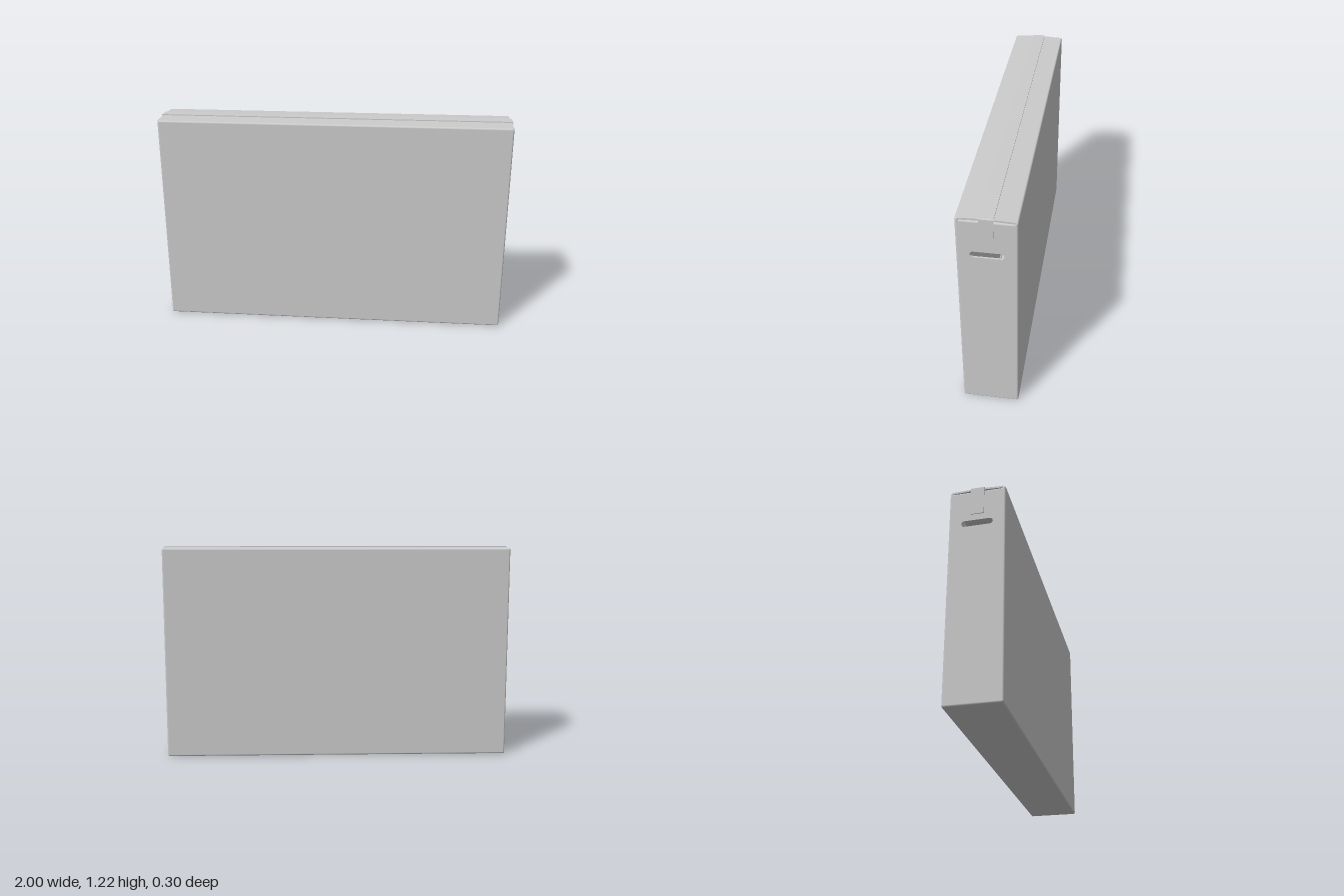
import * as THREE from 'three';

const X = 0.996, Z = 0.149, T = 0.01;   // half length, half depth, board thickness
const TOP = 1.213, END_TOP = 1.203, PEAK = 1.219; // top of long walls, end walls, flap meeting line

export function createModel() {
  const group = new THREE.Group();
  const board = new THREE.MeshStandardMaterial({ color: 0xcccccc });

  const add = (name, geometry, x = 0, y = 0, z = 0) => {
    const mesh = new THREE.Mesh(geometry, board);
    mesh.name = name;
    mesh.position.set(x, y, z);
    group.add(mesh);
    return mesh;
  };
  const extrude = (shape, depth) => new THREE.ExtrudeGeometry(shape, { depth, bevelEnabled: false, curveSegments: 10 })
    .translate(0, 0, -depth / 2);
  const polygon = (points) => new THREE.Shape(points.map(([x, y]) => new THREE.Vector2(x, y)));
  // rounded fold along an edge
  const crease = (name, length, axis, x, y, z) => {
    const g = new THREE.CylinderGeometry(T, T, length, 16);
    if (axis === 'x') g.rotateZ(Math.PI / 2);
    if (axis === 'z') g.rotateX(Math.PI / 2);
    return add(name, g, x, y, z);
  };

  // bottom panel
  add('bottomPanel', new THREE.BoxGeometry(2 * (X - T), T, 2 * (Z - T)), 0, T / 2, 0);

  // long walls, their folds and the sloping top flaps
  for (const s of [1, -1]) {
    const side = s > 0 ? 'front' : 'back';
    add(side + 'Wall', new THREE.BoxGeometry(2 * (X - T), TOP - 2 * T, T), 0, TOP / 2, s * (Z - T / 2));
    for (const y of [T, TOP - T]) crease(side + 'Fold', 2 * (X - T), 'x', 0, y, s * (Z - T));

    const flap = polygon([[0.001, PEAK - T], [Z - T, TOP - T], [Z - T, TOP], [0.001, PEAK]]);
    add(side + 'TopFlap', extrude(flap, 2 * (X - 0.002))).rotation.y = -s * Math.PI / 2;
  }

  // end walls with a rounded hand slot, and the short flaps tucked under the top
  for (const s of [1, -1]) {
    const side = s > 0 ? 'left' : 'right';
    const w = Z - T, r = 0.017, c = 0.083 - r, y = 1.005;
    const wall = polygon([[-w, T], [w, T], [w, END_TOP - T], [-w, END_TOP - T]]);
    const slot = new THREE.Path();
    slot.absarc(c, y, r, -Math.PI / 2, Math.PI / 2);
    slot.absarc(-c, y, r, Math.PI / 2, Math.PI * 1.5);
    slot.closePath();
    wall.holes.push(slot);
    add(side + 'EndWall', extrude(wall, T), s * (X - T / 2)).rotation.y = s * Math.PI / 2;
    add(side + 'InnerFlap', new THREE.BoxGeometry(0.28, T, 2 * w), s * (X - T - 0.14), END_TOP - T / 2, 0);
    for (const fy of [T, END_TOP - T]) crease(side + 'EndFold', 2 * w, 'z', s * (X - T), fy, 0);

    // upright folds and rounded corners
    for (const k of [1, -1]) {
      crease('cornerFold', TOP - 2 * T, 'y', s * (X - T), TOP / 2, k * w);
      for (const cy of [T, TOP - T]) add('corner', new THREE.SphereGeometry(T, 16, 12), s * (X - T), cy, k * w);
    }
  }

  // sealing tape over the top seam, turned down at both ends
  const tapeTop = 1.223, inner = X - 0.001, under = PEAK - 0.002, low = 1.058;
  const tape = polygon([
    [-1, low], [-inner, low], [-inner, under], [inner, under], [inner, low], [1, low],
    [1, tapeTop - 0.004], [0.996, tapeTop], [-0.996, tapeTop], [-1, tapeTop - 0.004],
  ]);
  add('sealingTape', extrude(tape, 0.07));

  return group;
}
